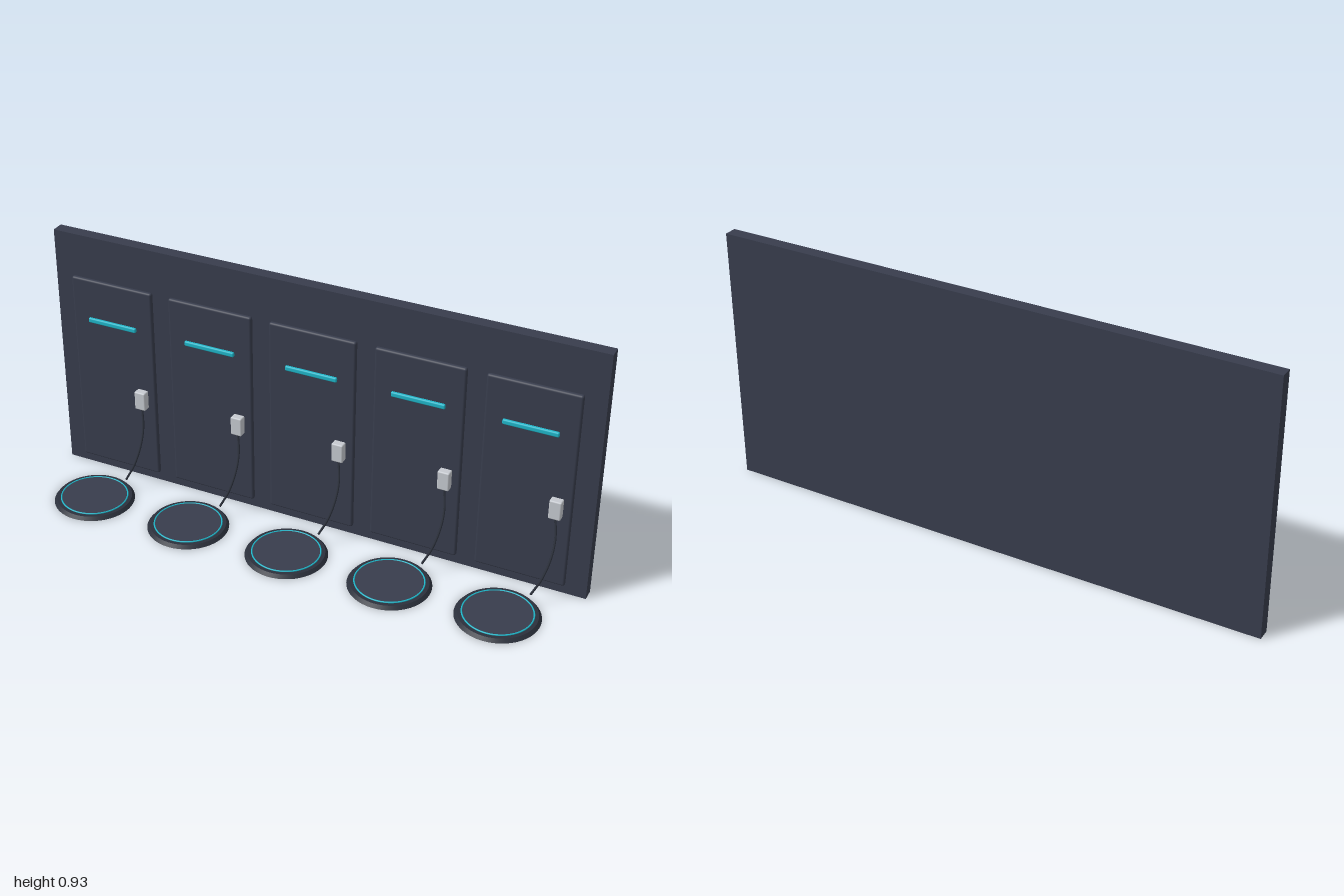
import * as THREE from 'three';
import { RoundedBoxGeometry } from 'three/addons/geometries/RoundedBoxGeometry.js';

const material = (name, color) => {
  const m = new THREE.MeshStandardMaterial({ color });
  m.name = name;
  return m;
};

export function createModel() {
  const slate = material('slate', 0x383d4d);
  const charcoal = material('charcoal', 0x2b303b);
  const teal = material('teal', 0x1fb6c9);
  const paleGrey = material('pale grey', 0xc6cad0);

  const add = (parent, name, geometry, mat, x = 0, y = 0, z = 0) => {
    const mesh = new THREE.Mesh(geometry, mat);
    mesh.name = name;
    mesh.position.set(x, y, z);
    parent.add(mesh);
    return mesh;
  };

  const model = new THREE.Group();
  model.name = 'chargingWall';

  // Backing wall
  add(model, 'wall', new THREE.BoxGeometry(2, 0.925, 0.045), slate, 0, 0.4625, -0.1775);

  // Geometry shared by all the bays
  const panelGeo = new RoundedBoxGeometry(0.318, 0.73, 0.019, 3, 0.008);
  const lightGeo = new RoundedBoxGeometry(0.19, 0.018, 0.014, 3, 0.005);
  const plugGeo = new RoundedBoxGeometry(0.042, 0.07, 0.03, 3, 0.005);
  const cableGeo = new THREE.TubeGeometry(new THREE.CatmullRomCurve3([
    new THREE.Vector3(0.11, 0.32, -0.119),
    new THREE.Vector3(0.123, 0.25, -0.1),
    new THREE.Vector3(0.121, 0.18, -0.078),
    new THREE.Vector3(0.103, 0.105, -0.056),
    new THREE.Vector3(0.076, 0.046, -0.04),
  ]), 24, 0.004, 8);

  // Floor pad: bevelled base, raised glowing ring and inner disc
  const baseGeo = new THREE.CylinderGeometry(0.134, 0.144, 0.012, 48);
  const discGeo = new THREE.CylinderGeometry(0.117, 0.117, 0.003, 48);
  const ringGeo = new THREE.TorusGeometry(0.1185, 0.0028, 8, 64).rotateX(Math.PI / 2);

  for (let i = -2; i <= 2; i++) {
    const bay = new THREE.Group();
    bay.name = 'chargingBay';
    bay.position.x = i * 0.3846;
    add(bay, 'panel', panelGeo, slate, 0, 0.405, -0.1435);
    add(bay, 'lightBar', lightGeo, teal, 0, 0.616, -0.132);
    add(bay, 'plug', plugGeo, paleGrey, 0.11, 0.347, -0.12);
    add(bay, 'cable', cableGeo, charcoal);
    add(bay, 'padBase', baseGeo, charcoal, 0, 0.006, 0.056);
    add(bay, 'padDisc', discGeo, slate, 0, 0.0125, 0.056);
    add(bay, 'padRing', ringGeo, teal, 0, 0.0135, 0.056);
    model.add(bay);
  }
  return model;
}
